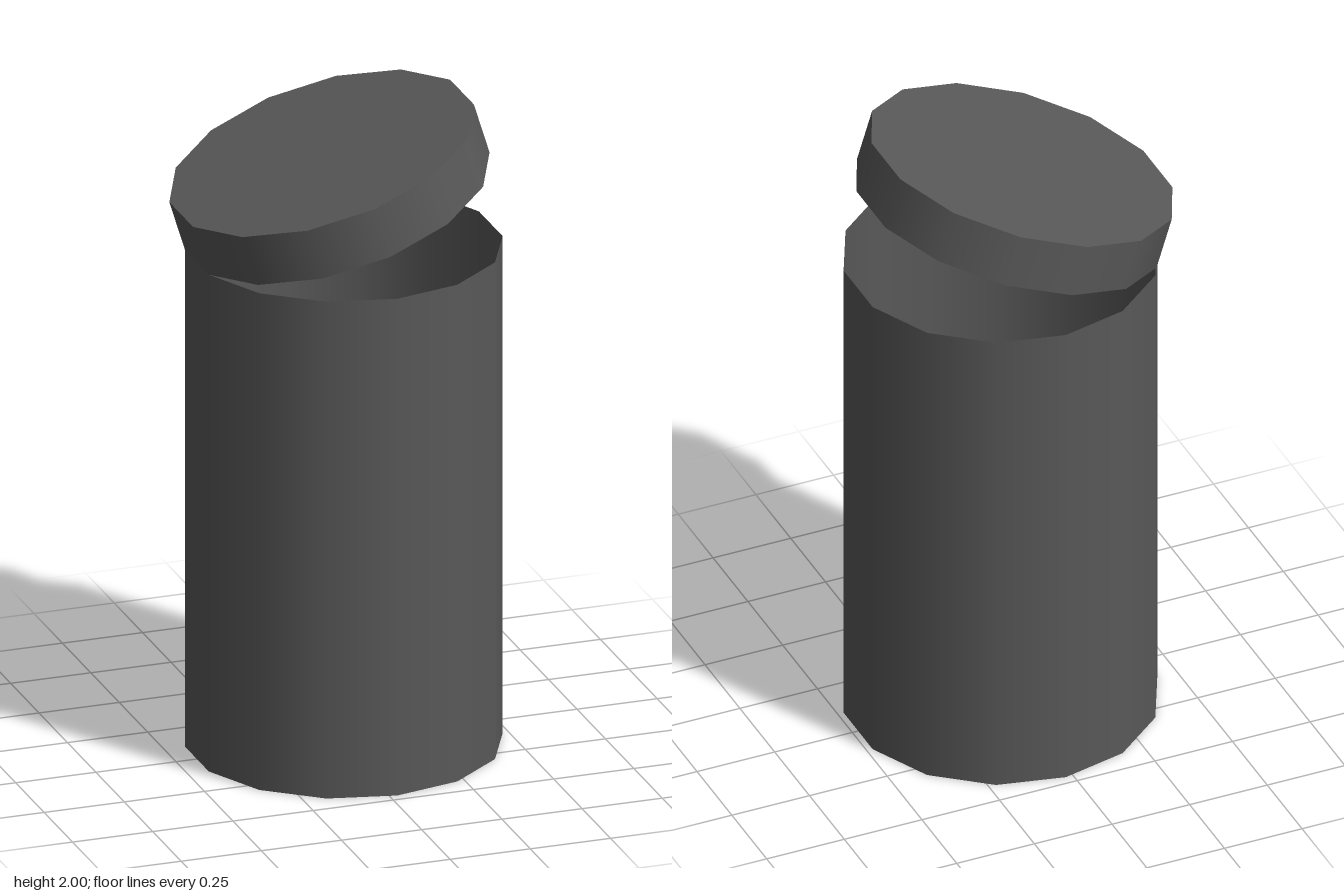
import * as THREE from 'three';

const SIDES = 14;
const RADIUS = 0.47;
const APOTHEM = RADIUS * Math.cos(Math.PI / SIDES);
const BODY_HEIGHT = 1.571;
const LID_HEIGHT = 0.165;
const BODY_X = 0.023;
const LID_TILT = 0.3;

// Thin-walled smooth tube standing on y = 0, closed by one flat disc
function openCan(name, height, discAtTop, material) {
  const can = new THREE.Group();
  can.name = name;

  const wall = new THREE.Mesh(
    new THREE.CylinderGeometry(RADIUS, RADIUS, height, SIDES, 1, true), material);
  wall.name = name + 'Wall';
  wall.position.y = height / 2;

  const disc = new THREE.Mesh(
    new THREE.CircleGeometry(RADIUS, SIDES, Math.PI / 2), material);
  disc.name = name + (discAtTop ? 'Top' : 'Floor');
  disc.rotation.x = discAtTop ? -Math.PI / 2 : Math.PI / 2;
  disc.position.y = discAtTop ? height : 0;

  can.add(wall, disc);
  return can;
}

export function createModel() {
  const model = new THREE.Group();
  model.name = 'canister';

  const darkGrey = new THREE.MeshStandardMaterial({ color: 0x595959, side: THREE.DoubleSide });
  darkGrey.name = 'darkGrey';

  // Hollow body, open at the top
  const body = openCan('body', BODY_HEIGHT, false, darkGrey);
  body.position.x = BODY_X;

  // Hollow lid, hinged on the flat facet at the -x rim and tilted open
  const hinge = new THREE.Group();
  hinge.name = 'lidHinge';
  hinge.position.set(BODY_X - APOTHEM, BODY_HEIGHT, 0);
  hinge.rotation.z = LID_TILT;
  const lid = openCan('lid', LID_HEIGHT, true, darkGrey);
  lid.position.x = APOTHEM;
  hinge.add(lid);

  model.add(body, hinge);
  return model;
}
